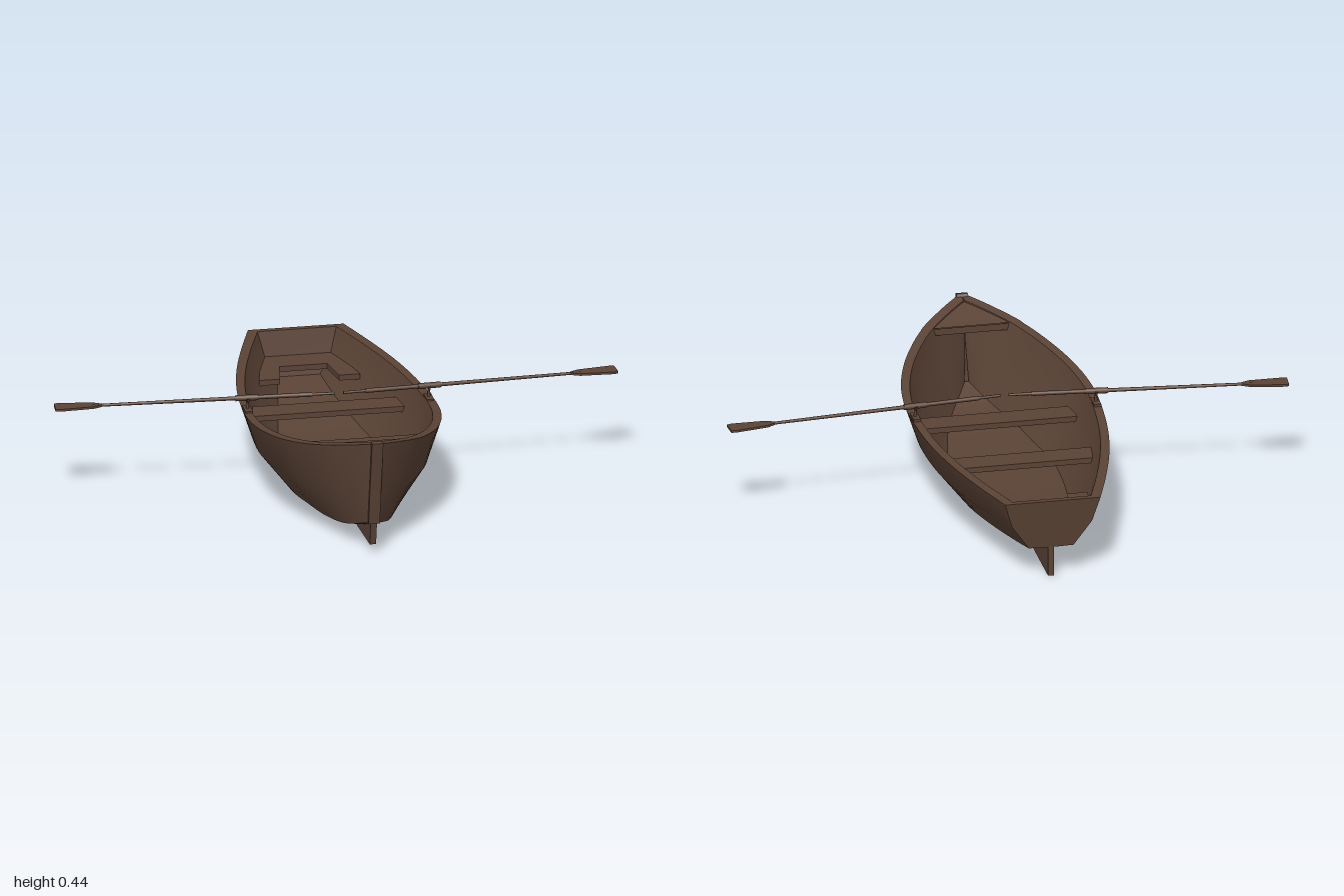
import * as THREE from 'three';

const wood = new THREE.MeshStandardMaterial({ color: 0x5b4336, side: THREE.DoubleSide });
wood.name = 'brown wood';

// stations, stern to bow: sheer z, half width, y; chine z, half width, y; keel y
const STATIONS = [
  [-0.77, 0.17, 0.295, -0.74, 0.08, 0.11, 0.108],
  [-0.6, 0.225, 0.295, -0.58, 0.105, 0.083, 0.06],
  [-0.4, 0.28, 0.296, -0.39, 0.14, 0.06, 0.03],
  [-0.2, 0.318, 0.298, -0.2, 0.175, 0.047, 0.01],
  [0, 0.337, 0.305, 0, 0.19, 0.04, 0.005],
  [0.15, 0.338, 0.315, 0.15, 0.185, 0.04, 0.005],
  [0.3, 0.315, 0.33, 0.29, 0.155, 0.045, 0.015],
  [0.45, 0.265, 0.352, 0.43, 0.125, 0.055, 0.035],
  [0.6, 0.18, 0.385, 0.56, 0.08, 0.07, 0.06],
  [0.7, 0.085, 0.415, 0.65, 0.035, 0.1, 0.095],
  [0.76, 0.015, 0.435, 0.7, 0.01, 0.12, 0.12],
];
const V = (x, y, z) => new THREE.Vector3(x, y, z);
const curve = (fn) => new THREE.CatmullRomCurve3(STATIONS.map((s) => V(...fn(s))));
const sheer = curve((s) => [s[1], s[2], s[0]]);
const chine = curve((s) => [s[4], s[5], s[3]]);
const keelLine = curve((s) => [0, s[6], s[3]]);
const RIM = 0.03;

// the points of one cross-section
function section(t) {
  const a = sheer.getPoint(t), c = chine.getPoint(t), k = keelLine.getPoint(t);
  const m = V(c.x + (a.x - c.x) * 0.7, (a.y + c.y) / 2, (a.z + c.z) / 2);
  const inset = (p, d, up) => V(Math.max(p.x - d, 0.001), p.y + up, p.z * 0.972);
  const floor = inset(c, 0.003, 0.022);
  return {
    a, m, c, k,
    ai: inset(a, RIM, 0), mi: inset(m, RIM * 0.85, 0.004), floor,
    mid: V(0, floor.y, floor.z),
  };
}

// surface through equal rows of points
function grid(rows, flip = false) {
  const n = rows[0].length, pos = [], idx = [];
  rows.forEach((r) => r.forEach((p) => pos.push(p.x, p.y, p.z)));
  for (let i = 0; i < rows.length - 1; i++) {
    for (let j = 0; j < n - 1; j++) {
      const a = i * n + j, b = a + n, c = a + 1, d = b + 1;
      idx.push(...(flip ? [a, c, b, b, c, d] : [a, b, c, c, b, d]));
    }
  }
  const g = new THREE.BufferGeometry();
  g.setAttribute('position', new THREE.Float32BufferAttribute(pos, 3));
  g.setIndex(idx);
  g.computeVertexNormals();
  return g;
}
const mirrorX = (p) => V(-p.x, p.y, p.z);

function add(parent, name, geo, x = 0, y = 0, z = 0) {
  const mesh = new THREE.Mesh(geo, wood);
  mesh.name = name;
  mesh.position.set(x, y, z);
  parent.add(mesh);
  return mesh;
}

// flat board from an outline of [x, z], with its top at y
function board(outline, y, thick) {
  const shape = new THREE.Shape(outline.map(([x, z]) => new THREE.Vector2(x, -z)));
  return new THREE.ExtrudeGeometry(shape, { depth: thick, bevelEnabled: false })
    .rotateX(-Math.PI / 2).translate(0, y - thick, 0);
}
// upright centreline timber from an outline of [z, y]
function timber(outline, width) {
  const shape = new THREE.Shape(outline.map(([z, y]) => new THREE.Vector2(z, y)));
  return new THREE.ExtrudeGeometry(shape, { depth: width, bevelEnabled: false })
    .rotateY(-Math.PI / 2).translate(width / 2, 0, 0);
}

function buildHull(boat) {
  const hull = new THREE.Group();
  hull.name = 'hull';
  boat.add(hull);
  const rows = Array.from({ length: 41 }, (_, i) => section(i / 40));
  const strips = {
    topside: ['a', 'm', 'c'], bottom: ['c', 'k'], gunwale: ['ai', 'a'],
    innerSide: ['floor', 'mi', 'ai'], floor: ['mid', 'floor'],
  };
  for (const [name, keys] of Object.entries(strips)) {
    add(hull, name + 'Left', grid(rows.map((r) => keys.map((k) => r[k]))));
    add(hull, name + 'Right', grid(rows.map((r) => keys.map((k) => mirrorX(r[k]))), true));
  }

  // transom, inside and out, with its top edge
  const across = (pts, flip) => grid([pts.map(mirrorX), pts], flip);
  const s = rows[0];
  add(hull, 'transom', across([s.a, s.m, s.c, s.k], false));
  add(hull, 'transomInside', across([s.ai, s.mi, s.floor], true));
  add(hull, 'transomTop', across([s.a, s.ai], true));

  // foredeck with a lip on its aft edge
  const deck = [];
  for (let i = 0; i <= 10; i++) {
    const p = sheer.getPoint(0.8 + 0.02 * i).add(V(0, 0.002, 0));
    deck.push([mirrorX(p), p]);
  }
  add(hull, 'foredeck', grid(deck));
  const edge = section(0.8).a;
  const lip = V(edge.x - 0.02, edge.y, edge.z);
  add(hull, 'foredeckLip', across([lip, V(lip.x - 0.008, lip.y - 0.025, lip.z)], false));

  // stem, keel and skeg
  add(hull, 'stem', timber([[0.69, 0.115], [0.704, 0.115], [0.73, 0.25], [0.772, 0.44], [0.755, 0.443], [0.74, 0.42]], 0.04));
  add(hull, 'keel', timber([[0.70, 0.125], [0.68, 0.03], [0.45, 0.012], [0.25, 0], [-0.74, 0],
    [-0.74, 0.112], [-0.58, 0.066], [-0.39, 0.036], [-0.2, 0.016], [0.15, 0.01], [0.3, 0.02], [0.56, 0.065]], 0.022));
}

function buildSeats(boat) {
  add(boat, 'aftThwart', board([[-0.265, -0.24], [0.265, -0.24], [0.275, -0.145], [-0.275, -0.145]], 0.215, 0.02));
  add(boat, 'foreThwart', board([[-0.283, 0.13], [0.283, 0.13], [0.275, 0.225], [-0.275, 0.225]], 0.215, 0.02));
  const half = [[0.13, -0.745], [0.18, -0.51], [0.105, -0.51], [0.085, -0.63]];
  const other = half.map(([x, z]) => [-x, z]).reverse();
  add(boat, 'sternSeat', board([...half, ...other], 0.205, 0.02));
}

// oar and oarlock for the left side, mirrored for the right
function buildOar(boat, side) {
  const set = new THREE.Group();
  set.name = side > 0 ? 'leftOarSet' : 'rightOarSet';
  set.scale.x = side;
  boat.add(set);

  const oar = new THREE.Group();
  oar.name = 'oar';
  oar.position.set(0.015, 0.356, 0.045);
  oar.rotation.set(0, 0.07, -0.01);
  set.add(oar);
  const rod = (r0, r1, len) => new THREE.CylinderGeometry(r1, r0, len, 10).rotateZ(-Math.PI / 2);
  add(oar, 'handle', rod(0.005, 0.005, 0.09), 0.045);
  add(oar, 'shaft', rod(0.008, 0.005, 0.78), 0.47);
  add(oar, 'collar', rod(0.0105, 0.0105, 0.08), 0.31);
  add(oar, 'blade', board([[0.82, -0.006], [0.85, -0.021], [0.97, -0.032], [0.985, -0.028],
    [0.985, 0.028], [0.97, 0.032], [0.85, 0.021], [0.82, 0.006]], 0.004, 0.008));

  const lock = new THREE.Group();
  lock.name = 'oarlock';
  lock.position.set(0.322, 0.306, 0.026);
  set.add(lock);
  add(lock, 'lockPlate', new THREE.BoxGeometry(0.026, 0.01, 0.065), 0, 0.003);
  add(lock, 'lockPin', new THREE.CylinderGeometry(0.005, 0.006, 0.03, 10), 0, 0.018);
  add(lock, 'lockHorns', new THREE.TorusGeometry(0.016, 0.004, 8, 16, Math.PI)
    .rotateZ(Math.PI).rotateY(Math.PI / 2), 0, 0.049);
}

export function createModel() {
  const boat = new THREE.Group();
  boat.name = 'rowingBoat';
  buildHull(boat);
  buildSeats(boat);
  [1, -1].forEach((side) => buildOar(boat, side));
  return boat;
}
